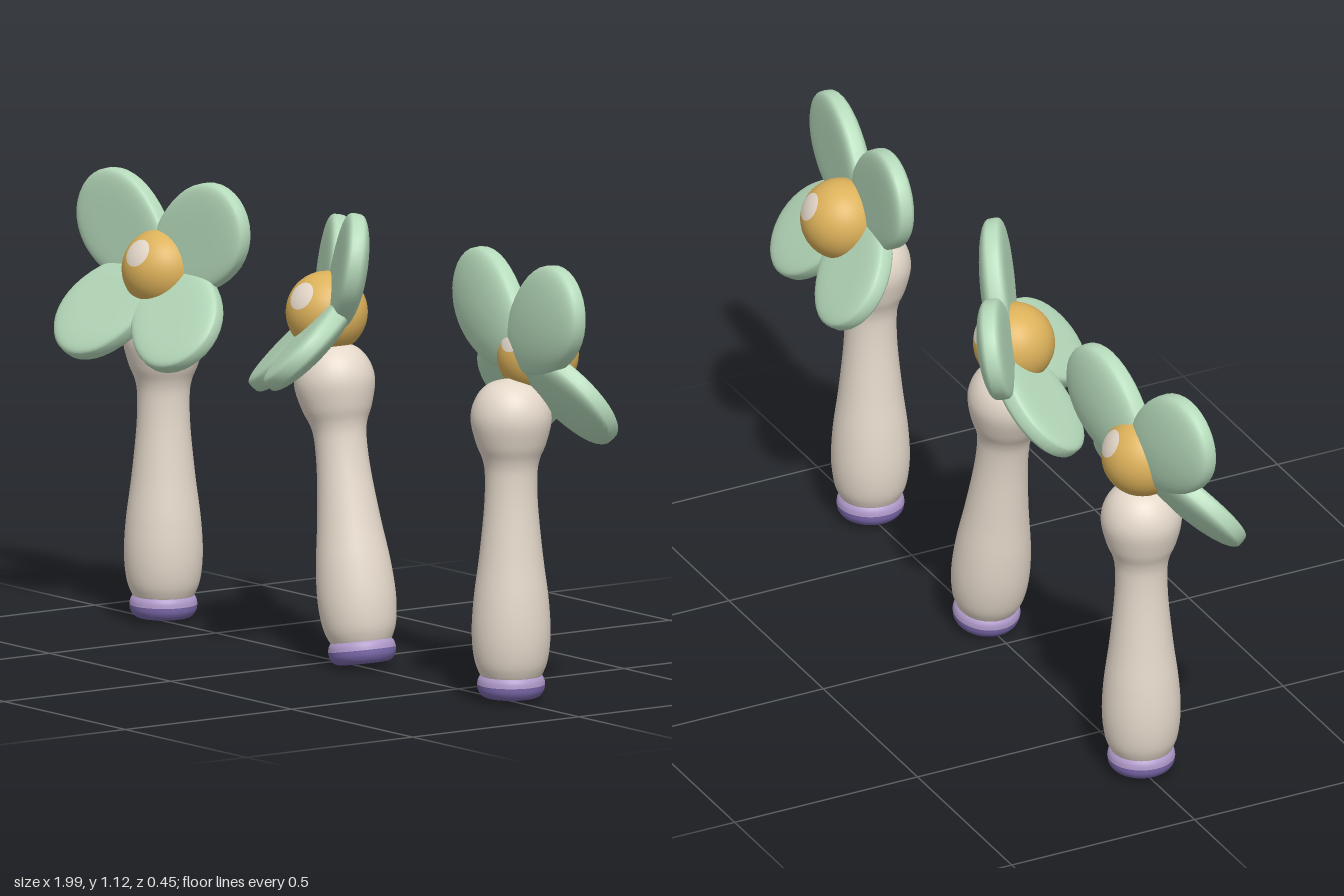
import * as THREE from 'three';
import { mergeVertices } from 'three/addons/utils/BufferGeometryUtils.js';

const DEG = Math.PI / 180;

function material(name, color) {
  const m = new THREE.MeshStandardMaterial({ color });
  m.name = name;
  return m;
}

// Smooth lathe through a few [radius, height] points
function turned(points, steps) {
  const curve = new THREE.SplineCurve(points.map(([r, y]) => new THREE.Vector2(r, y)));
  const profile = curve.getPoints(steps);
  profile.forEach(p => { p.x = Math.max(p.x, 0); });
  return new THREE.LatheGeometry(profile, 40);
}

// Puffy, blunt-edged petal with its root just behind the origin, growing along +x and facing +z
function petalGeometry() {
  const length = 0.35;
  let geo = new THREE.SphereGeometry(1, 40, 28).rotateX(Math.PI / 2);
  const pos = geo.attributes.position;
  for (let i = 0; i < pos.count; i++) {
    const x = pos.getX(i), y = pos.getY(i), z = pos.getZ(i);
    const u = (x + 1) / 2;
    const r2 = x * x + y * y;
    const thick = Math.sign(z) * Math.pow(Math.abs(z), 0.5) * 0.037;
    const dish = 0.01 * (r2 - 0.6);
    pos.setXYZ(i, u * length - 0.03, y * 0.145 * (0.68 + 0.32 * u), thick + dish);
  }
  geo.deleteAttribute('uv');
  geo.deleteAttribute('normal');
  geo = mergeVertices(geo, 1e-5);
  geo.computeVertexNormals();
  return geo;
}

export function createModel() {
  const green = material('petal green', 0xb6dabb);
  const gold = material('centre gold', 0xdcb15a);
  const stone = material('stem beige', 0xe4d8ca);
  const purple = material('cap purple', 0x7a68ab);
  const lavender = material('cap lavender', 0xb09aca);
  const cream = material('spot cream', 0xecdfd0);

  const stemGeo = turned([
    [0, 0.05], [0.06, 0.055], [0.081, 0.08], [0.092, 0.12], [0.096, 0.18], [0.091, 0.26],
    [0.078, 0.36], [0.066, 0.48], [0.064, 0.56], [0.07, 0.6], [0.086, 0.64],
    [0.099, 0.7], [0.087, 0.75], [0.055, 0.785], [0, 0.8],
  ], 70);
  const capLowerGeo = turned([
    [0, 0.012], [0.045, 0.012], [0.068, 0.016], [0.08, 0.03], [0.083, 0.046],
  ], 24);
  const capUpperGeo = turned([
    [0.083, 0.046], [0.08, 0.06], [0.07, 0.071], [0.05, 0.075], [0, 0.075],
  ], 24);
  const petalGeo = petalGeometry();
  const ballGeo = new THREE.SphereGeometry(0.1, 40, 28);
  const spotGeo = new THREE.SphereGeometry(0.102, 24, 6, 0, Math.PI * 2, 0, 0.36);

  function add(parent, name, geo, mat) {
    const mesh = new THREE.Mesh(geo, mat);
    mesh.name = name;
    parent.add(mesh);
    return mesh;
  }

  function makeWand({ name, x, lean, hub, ball, pitch, yaw, roll }) {
    const wand = new THREE.Group();
    wand.name = name;

    // Handle: stem and two-tone foot cap, leaning together
    const handle = new THREE.Group();
    handle.name = 'handle';
    handle.position.x = x;
    handle.rotation.z = lean * DEG;
    add(handle, 'stem', stemGeo, stone);
    add(handle, 'footCapLower', capLowerGeo, purple);
    add(handle, 'footCapUpper', capUpperGeo, lavender);
    wand.add(handle);

    // Upright upper petals, lower petals folded forward
    const flower = new THREE.Group();
    flower.name = 'petals';
    flower.position.set(...hub);
    flower.rotation.set(pitch * DEG, yaw * DEG, roll * DEG, 'YXZ');
    for (const [angle, fold] of [[36, 0], [144, 0], [226, -36], [-46, -36]]) {
      const petal = add(flower, 'petal', petalGeo, green);
      petal.rotation.set(fold * DEG, 0, angle * DEG);
    }
    wand.add(flower);

    // Flower centre with a pale spot on each side
    const centre = new THREE.Group();
    centre.name = 'flowerCentre';
    centre.position.set(...ball);
    add(centre, 'ball', ballGeo, gold);
    for (const side of [1, -1]) {
      const spot = add(centre, 'spot', spotGeo, cream);
      const dir = new THREE.Vector3(0.1, 0.5, 0.85 * side).normalize();
      spot.quaternion.setFromUnitVectors(new THREE.Vector3(0, 1, 0), dir);
    }
    wand.add(centre);
    return wand;
  }

  const model = new THREE.Group();
  model.name = 'flowerWands';
  model.add(
    makeWand({ name: 'rightWand', x: -0.717, lean: 0, pitch: -1, yaw: 10, roll: 0,
      hub: [-0.715, 0.865, 0], ball: [-0.713, 0.872, 0.005] }),
    makeWand({ name: 'middleWand', x: 0.112, lean: 10, pitch: -9, yaw: -30, roll: 10,
      hub: [-0.045, 0.858, -0.03], ball: [-0.042, 0.858, 0] }),
    makeWand({ name: 'leftWand', x: 0.72, lean: 0, pitch: 0, yaw: 176, roll: 0,
      hub: [0.718, 0.86, -0.022], ball: [0.72, 0.85, -0.08] }),
  );
  return model;
}
